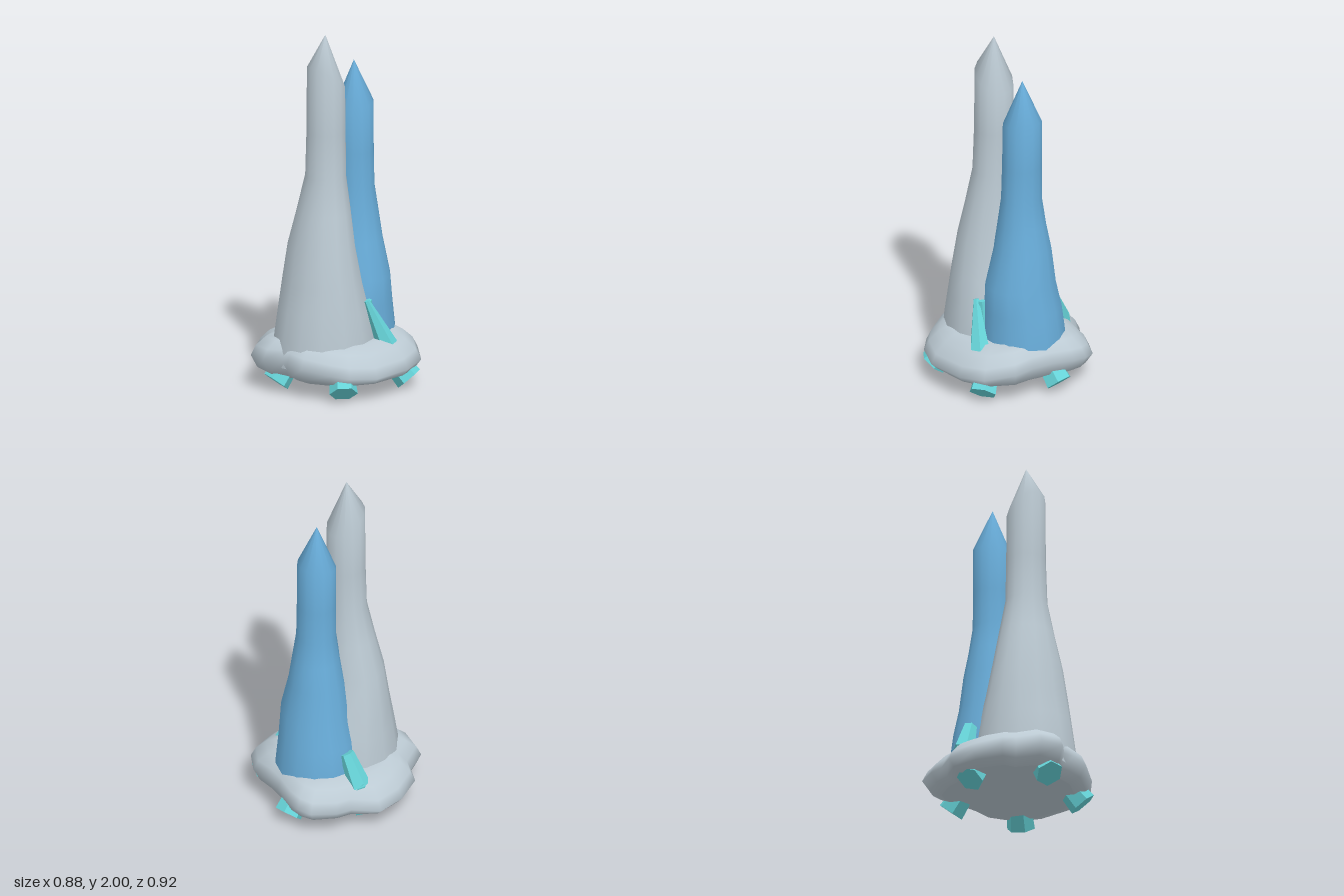
import * as THREE from 'three';

// Skin closed rings of points, listed from bottom to top
function loft(rings) {
  const n = rings[0].length, pos = [], index = [];
  rings.forEach(r => r.forEach(p => pos.push(...p)));
  for (let i = 0; i < rings.length - 1; i++) {
    for (let j = 0; j < n; j++) {
      const k = (j + 1) % n;
      const a = i * n + j, b = i * n + k, c = a + n, d = b + n;
      index.push(a, c, b, b, c, d);
    }
  }
  const g = new THREE.BufferGeometry();
  g.setAttribute('position', new THREE.Float32BufferAttribute(pos, 3));
  g.setIndex(index);
  g.computeVertexNormals();
  return g;
}

// Round spire; each section is [y, centre x, centre z, radius x, radius z, tilt]
function spire(sections, sides = 14) {
  return loft(sections.map(([y, cx, cz, rx, rz, tilt = 0]) =>
    Array.from({ length: sides }, (_, j) => {
      const a = j / sides * Math.PI * 2;
      return [cx + rx * Math.cos(a), y + tilt * Math.cos(a), cz + rz * Math.sin(a)];
    })));
}

export function createModel() {
  const model = new THREE.Group();
  const material = (name, color, flatShading = false) => {
    const m = new THREE.MeshStandardMaterial({ color, flatShading });
    m.name = name;
    return m;
  };
  const stone = material('pale stone', 0xbccad3);
  const blue = material('blue ice', 0x69aedb);
  const teal = material('teal crystal', 0x66d3d8, true);
  const add = (name, geometry, mat) => {
    const mesh = new THREE.Mesh(geometry, mat);
    mesh.name = name;
    model.add(mesh);
    return mesh;
  };

  // Tall pale spire
  add('tallSpire', spire([
    [0.15, -0.085, 0.02, 0.29, 0.29],
    [0.30, -0.085, 0.02, 0.28, 0.28],
    [0.45, -0.09, 0.02, 0.25, 0.26],
    [0.60, -0.10, 0.02, 0.212, 0.24],
    [0.80, -0.105, 0.02, 0.178, 0.205],
    [1.00, -0.093, 0.025, 0.145, 0.16],
    [1.20, -0.085, 0.03, 0.112, 0.118],
    [1.45, -0.082, 0.03, 0.109, 0.109],
    [1.76, -0.082, 0.03, 0.106, 0.106, -0.07],
    [2.00, -0.085, 0.028, 0, 0],
  ]), stone);

  // Shorter blue spire
  add('shortSpire', spire([
    [0.15, 0.135, -0.015, 0.24, 0.24],
    [0.30, 0.135, -0.015, 0.232, 0.232],
    [0.45, 0.135, -0.01, 0.212, 0.22],
    [0.60, 0.14, 0.005, 0.185, 0.20],
    [0.80, 0.14, -0.01, 0.155, 0.16],
    [0.95, 0.14, -0.005, 0.13, 0.135],
    [1.10, 0.138, -0.005, 0.109, 0.114],
    [1.30, 0.138, -0.008, 0.108, 0.11],
    [1.56, 0.138, -0.01, 0.107, 0.107, 0.02],
    [1.81, 0.137, -0.01, 0, 0],
  ]), blue);

  // Lumpy rock collar, following one outline at every height
  const outline = [
    [0.02, -0.46], [0.16, -0.38], [0.25, -0.37], [0.38, -0.31], [0.42, -0.24],
    [0.43, -0.16], [0.41, -0.03], [0.40, 0.09], [0.405, 0.21], [0.32, 0.36],
    [0.18, 0.43], [-0.05, 0.46], [-0.2, 0.41], [-0.28, 0.34], [-0.375, 0.2],
    [-0.39, 0.09], [-0.38, 0.03], [-0.45, -0.05], [-0.43, -0.19],
    [-0.31, -0.27], [-0.28, -0.35], [-0.14, -0.43],
  ];
  // The collar dips toward the front and back
  const collarRing = (scale, y, dip) => outline.map(([x, z]) =>
    [x * scale, y - dip * (z / 0.46) ** 2, z * scale]);
  add('rockCollar', loft([
    collarRing(0.78, 0.08, 0),
    collarRing(0.92, 0.115, 0.015),
    collarRing(1.0, 0.195, 0.06),
    collarRing(0.94, 0.25, 0.06),
    collarRing(0.82, 0.295, 0.045),
    collarRing(0.68, 0.31, 0.02),
    collarRing(0.5, 0.29, 0),
  ]), stone);
  add('collarUnderside', loft([collarRing(0, 0.08, 0), collarRing(0.78, 0.08, 0)]), stone);

  // Six-sided crystal between two points with its own end radii
  const crystal = (name, from, to, r0, r1, sides = 6) => {
    const a = new THREE.Vector3(...from), b = new THREE.Vector3(...to);
    const dir = b.clone().sub(a);
    const mesh = add(name, new THREE.CylinderGeometry(r1, r0, dir.length(), sides), teal);
    mesh.position.copy(a).add(b).multiplyScalar(0.5);
    mesh.quaternion.setFromUnitVectors(new THREE.Vector3(0, 1, 0), dir.normalize());
  };

  // Stubby crystals around the foot, leaning outward and down
  [[0.38, -0.09], [0.26, 0.33], [-0.2, 0.35], [0.0, -0.32], [-0.355, -0.06]].forEach(([x, z], i) =>
    crystal('footCrystal' + (i + 1), [x, 0.052, z], [x * 0.66, 0.21, z * 0.66], 0.078, 0.06));

  // Longer shards rising between the spires
  crystal('frontShard', [0.15, 0.25, 0.275], [0.045, 0.51, 0.23], 0.06, 0.016);
  crystal('backShard', [0.06, 0.24, -0.31], [0.09, 0.42, -0.23], 0.062, 0.04);
  crystal('backShardTip', [0.035, 0.2, -0.345], [0.06, 0.24, -0.31], 0.02, 0.062);
  crystal('innerShard', [0.08, 0.3, 0.2], [0.07, 0.505, 0.21], 0.03, 0.022);

  return model;
}
